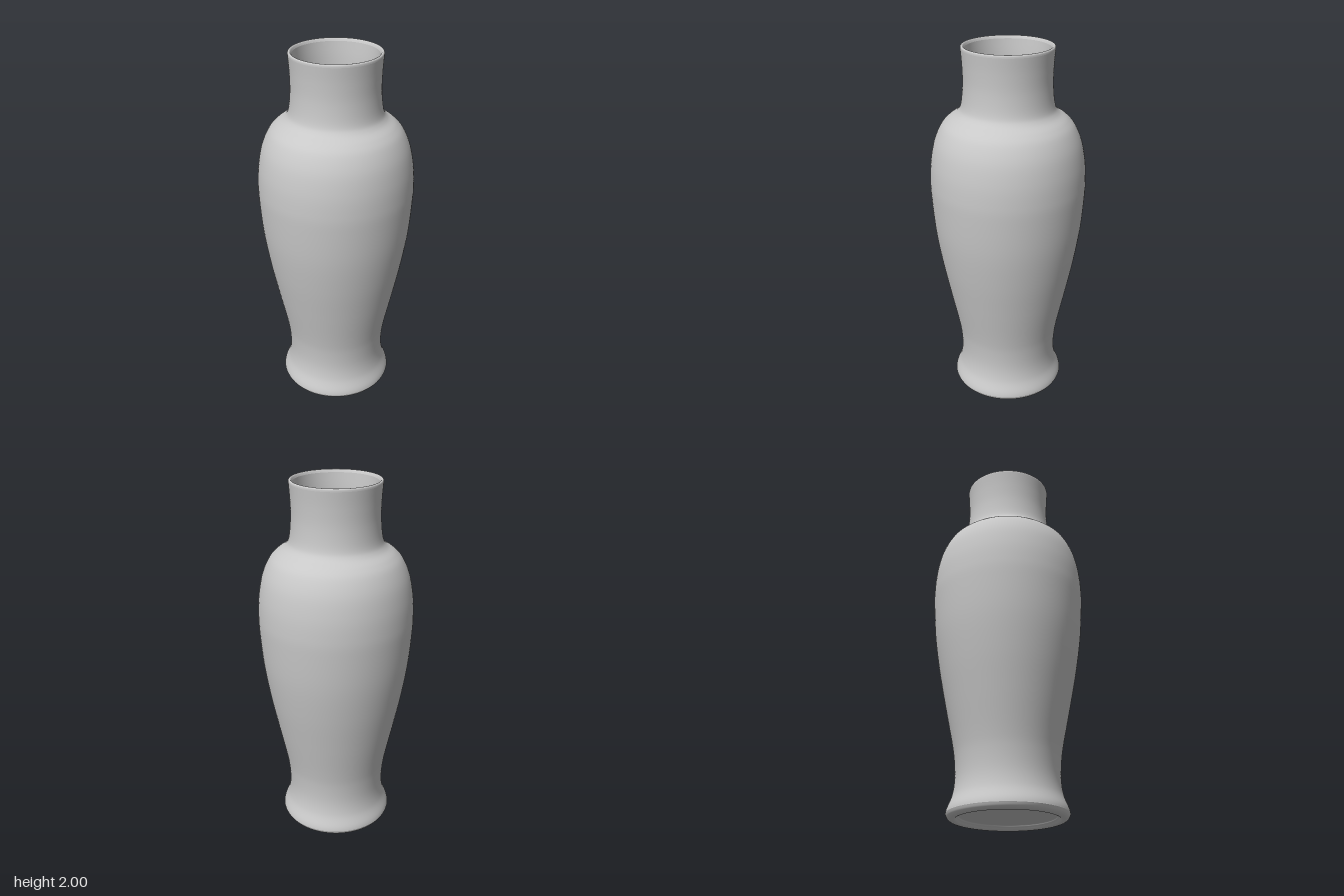
import * as THREE from 'three';

const SEGMENTS = 96;

// Smooth curve through [radius, height] pairs
function smooth(pairs, count) {
  const points = pairs.map(([r, y]) => new THREE.Vector2(r, y));
  return new THREE.SplineCurve(points).getPoints(count);
}

export function createModel() {
  const group = new THREE.Group();
  group.name = 'vase';
  const glaze = new THREE.MeshStandardMaterial({ color: 0xc8c8c8 });
  glaze.name = 'grey glaze';

  const turn = (name, points) => {
    const mesh = new THREE.Mesh(new THREE.LatheGeometry(points, SEGMENTS), glaze);
    mesh.name = name;
    group.add(mesh);
  };

  // Recessed underside and rounded foot ring
  turn('footRing', smooth([
    [0, 0.03], [0.12, 0.03], [0.235, 0.028], [0.255, 0.018], [0.268, 0.004], [0.28, 0],
    [0.297, 0.003], [0.31, 0.014], [0.317, 0.03],
  ], 48));

  // Flared base, tapering body, round shoulder and slim neck
  turn('outerWall', smooth([
    [0.317, 0.03], [0.311, 0.055], [0.286, 0.12], [0.275, 0.2], [0.279, 0.3], [0.294, 0.4],
    [0.335, 0.6], [0.374, 0.8], [0.404, 1.0], [0.419, 1.2], [0.42, 1.3], [0.412, 1.4],
    [0.391, 1.5], [0.355, 1.58], [0.316, 1.623], [0.267, 1.657], [0.245, 1.7],
    [0.234, 1.8], [0.235, 1.9], [0.241, 1.985],
  ], 120));

  // Rounded lip
  turn('rim', smooth([
    [0.241, 1.985], [0.24, 1.995], [0.234, 2], [0.227, 1.997], [0.221, 1.985],
  ], 16));

  // Hollow interior down to the floor
  turn('innerWall', smooth([
    [0.221, 1.985], [0.213, 1.9], [0.21, 1.8], [0.217, 1.7], [0.24, 1.638], [0.3, 1.598],
    [0.362, 1.49], [0.386, 1.4], [0.395, 1.25], [0.38, 1.0], [0.349, 0.8], [0.31, 0.6],
    [0.269, 0.4], [0.25, 0.22], [0.255, 0.12], [0.245, 0.075], [0.2, 0.06], [0.1, 0.06], [0, 0.06],
  ], 100));

  return group;
}
